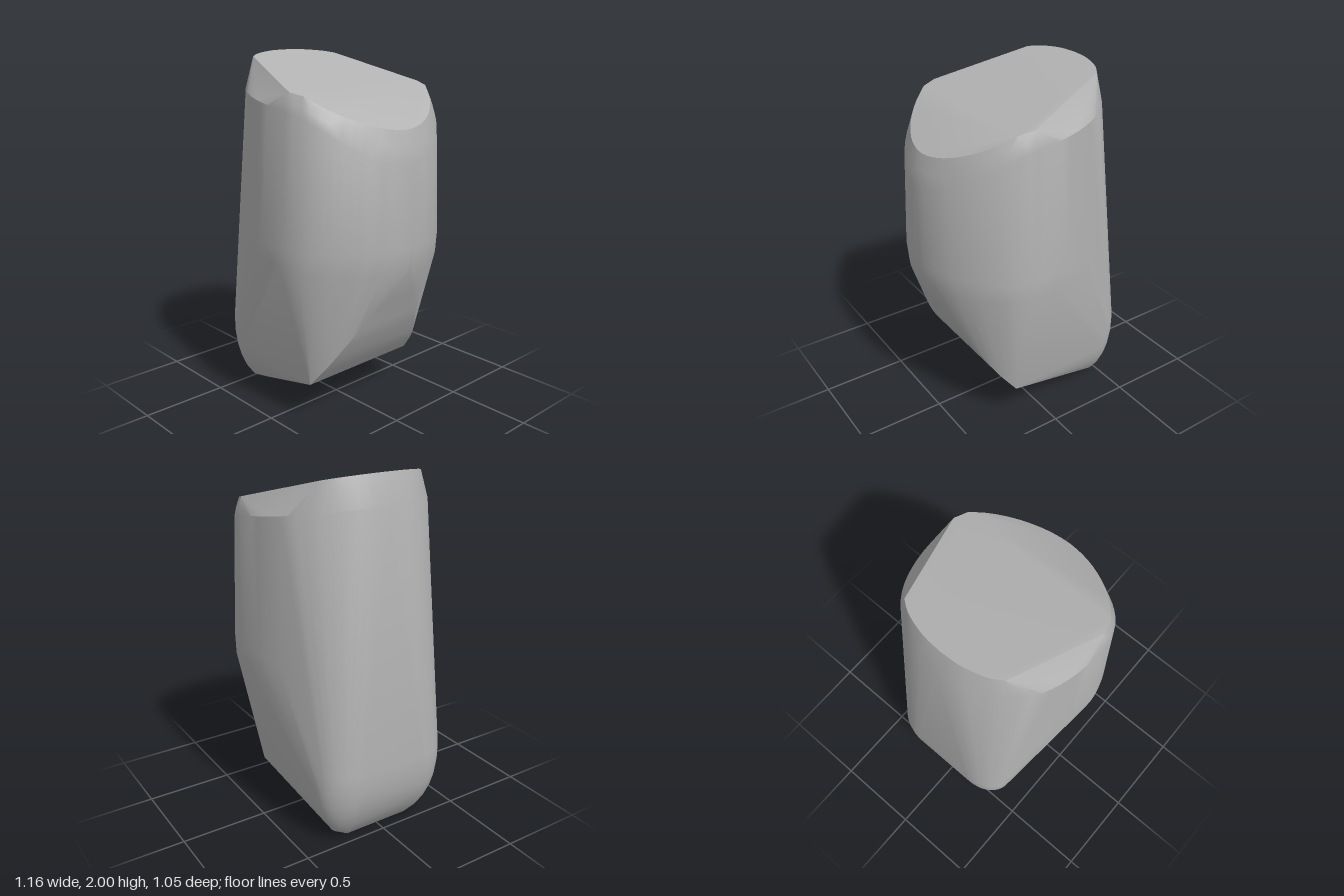
import * as THREE from 'three';
import { ConvexGeometry } from 'three/addons/geometries/ConvexGeometry.js';
import { toCreasedNormals } from 'three/addons/utils/BufferGeometryUtils.js';

export function createModel() {
  const group = new THREE.Group();
  const stone = new THREE.MeshStandardMaterial({ color: 0xb2b2b2 });
  const points = [];

  // add a smooth curve of [x, y, z] points, mirrored front to back
  function curve(list, steps) {
    const c = new THREE.CatmullRomCurve3(list.map(p => new THREE.Vector3(...p)), false, 'centripetal');
    for (const p of c.getPoints(steps)) {
      points.push(p, new THREE.Vector3(p.x, p.y, -p.z));
    }
  }
  const topY = x => 2 - 0.279 * (x + 0.43);
  const bevelY = x => 1.815 - 0.64 * (x - 0.25);

  // raised end of the sloping top face
  curve([[-0.43, 0], [-0.423, 0.1], [-0.4, 0.19], [-0.375, 0.25], [-0.34, 0.3]]
    .map(([x, z]) => [x, topY(x), z]), 12);
  // rim of the bevelled end of the top
  points.push(new THREE.Vector3(0.17, topY(0.17), 0.47), new THREE.Vector3(0.17, topY(0.17), -0.47));
  curve([[0.25, 0.445], [0.34, 0.38], [0.43, 0.275], [0.49, 0.16], [0.515, 0.07], [0.522, 0]]
    .map(([x, z]) => [x, bevelY(x), z]), 12);

  // shoulder just below the top
  curve([[-0.475, 1.84, 0], [-0.462, 1.84, 0.13], [-0.42, 1.83, 0.24], [-0.36, 1.82, 0.33],
    [-0.28, 1.81, 0.4], [-0.18, 1.79, 0.45], [-0.05, 1.77, 0.485], [0.1, 1.75, 0.499],
    [0.2, 1.73, 0.493], [0.3, 1.69, 0.455], [0.4, 1.62, 0.375], [0.48, 1.55, 0.27],
    [0.54, 1.49, 0.14], [0.564, 1.47, 0]], 32);
  curve([[0.17, 1.79, 0.487], [0.27, 1.755, 0.457], [0.36, 1.695, 0.39],
    [0.45, 1.625, 0.28], [0.52, 1.575, 0.14], [0.547, 1.56, 0]], 12);

  // widest girth, where the body starts to taper
  const girth = [[-0.2, 0.475], [-0.1, 0.5], [0, 0.515], [0.15, 0.524], [0.25, 0.506],
    [0.33, 0.467], [0.42, 0.387], [0.5, 0.28], [0.55, 0.17], [0.573, 0.07], [0.578, 0]];
  curve(girth.map(([x, z]) => [x, 1.03, z]), 24);
  curve(girth.map(([x, z]) => [x - 0.012 * Math.max(0, x) / 0.578, 0.95 - 0.08 * Math.max(0, x), z]), 24);

  // narrowing lower face
  curve([[0.2, 0.24, 0.38], [0.3, 0.37, 0.335], [0.4, 0.545, 0.245], [0.48, 0.71, 0.14], [0.562, 0.9, 0.02]], 14);

  // rounded foot: rows from the widest point down to the lowest edge
  const rows = [[-0.58, 0.45, 0.4], [-0.577, 0.35, 0.4], [-0.565, 0.26, 0.388], [-0.545, 0.19, 0.37],
    [-0.515, 0.12, 0.34], [-0.475, 0.055, 0.295], [-0.43, 0, 0.2]];
  for (const [left, y, width] of rows) {
    const list = [];
    for (let i = 0; i <= 10; i++) {
      const a = i / 10 * Math.PI / 2;
      const x = -0.42 - (-0.42 - left) * Math.cos(a);
      list.push([y ? x : -0.43, y, 0.2 + (width - 0.2) * Math.sin(a)]);
    }
    if (y) curve(list, 10);
    else curve([[-0.43, 0, 0], [-0.43, 0, 0.2]], 1);
  }

  const body = new THREE.Mesh(toCreasedNormals(new ConvexGeometry(points), 0.38), stone);
  body.name = 'stoneBody';
  group.add(body);
  return group;
}
